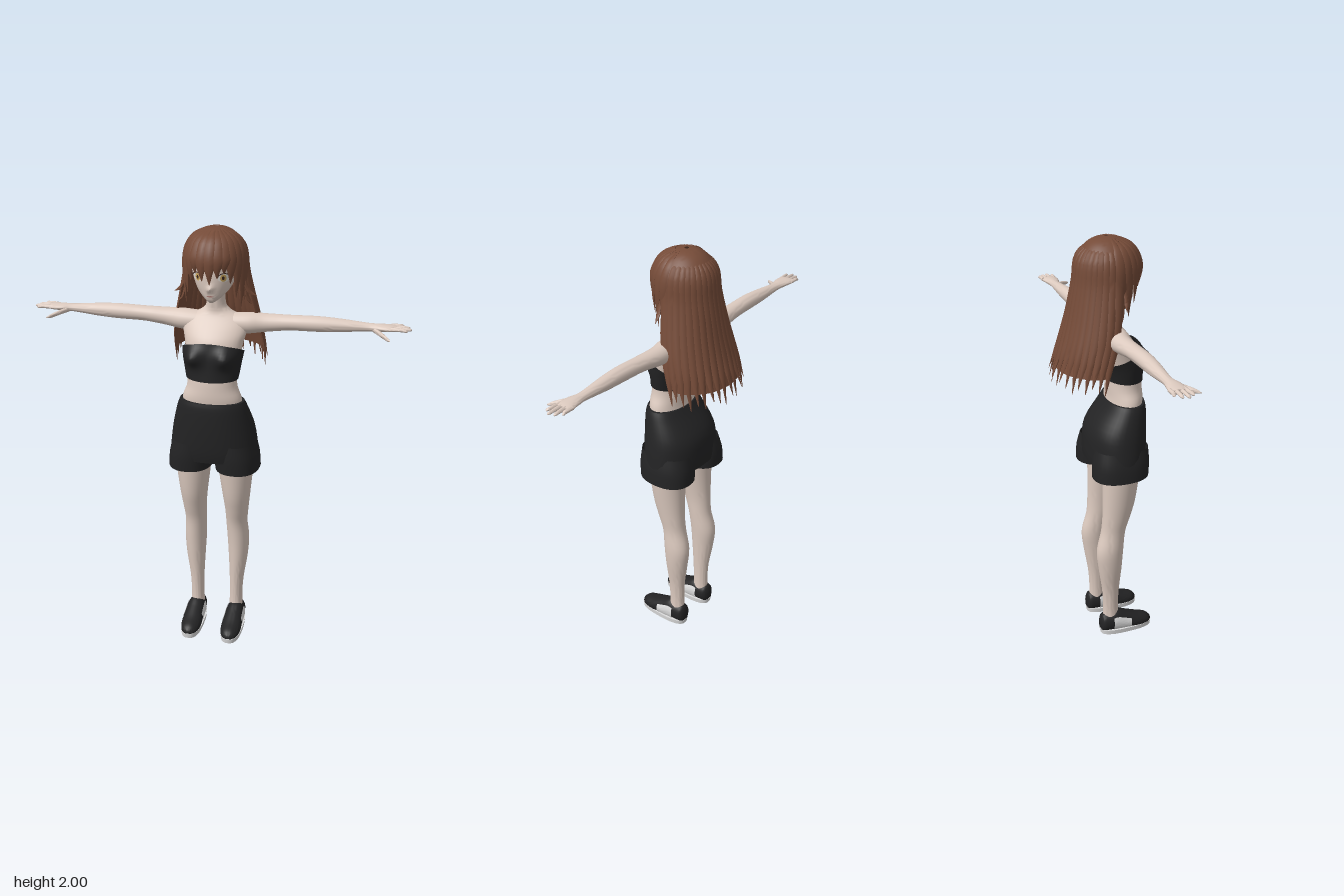
import * as THREE from 'three';
import { toCreasedNormals } from 'three/addons/utils/BufferGeometryUtils.js';

const V = (x, y, z) => new THREE.Vector3(x, y, z);
const mat = (name, color, side = THREE.FrontSide) => new THREE.MeshStandardMaterial({ name, color, side });
const M = {
  skin: mat('skin', 0xdccabf),
  hair: mat('hair brown', 0x754b38, THREE.DoubleSide),
  cloth: mat('black cloth', 0x232324, THREE.DoubleSide),
  white: mat('shoe white', 0xdcdcdc, THREE.DoubleSide),
  eye: mat('eye white', 0xf0ebe4, THREE.DoubleSide),
  iris: mat('iris gold', 0xc9a45c, THREE.DoubleSide),
  dark: mat('lash dark', 0x3a2620, THREE.DoubleSide),
  lip: mat('lip', 0xb08078, THREE.DoubleSide),
};

// Surface through rings of points; closed rings get caps and face outward
function skinRings(rings, closed = true, cap = true) {
  const n = rings[0].length, pos = [], idx = [];
  rings.forEach(r => r.forEach(p => pos.push(p.x, p.y, p.z)));
  const cols = closed ? n : n - 1;
  for (let i = 0; i < rings.length - 1; i++) for (let j = 0; j < cols; j++) {
    const a = i * n + j, b = i * n + (j + 1) % n;
    idx.push(a, b, a + n, b, b + n, a + n);
  }
  if (closed && cap) [0, rings.length - 1].forEach(i => {
    const c = rings[i].reduce((s, p) => s.add(p), V(0, 0, 0)).divideScalar(n), k = pos.length / 3;
    pos.push(c.x, c.y, c.z);
    for (let j = 0; j < n; j++) {
      const a = i * n + j, b = i * n + (j + 1) % n;
      i ? idx.push(k, a, b) : idx.push(k, b, a);
    }
  });
  // Reverse the winding when the enclosed volume is negative
  const P = i => V(pos[3 * i], pos[3 * i + 1], pos[3 * i + 2]);
  const mid = rings.flat().reduce((s, p) => s.add(p), V(0, 0, 0)).divideScalar(n * rings.length);
  let vol = 0;
  for (let i = 0; i < idx.length; i += 3) {
    const [a, b, c] = [0, 1, 2].map(k => P(idx[i + k]).sub(mid));
    vol += a.dot(b.cross(c));
  }
  if (vol < 0) idx.reverse();
  const g = new THREE.BufferGeometry();
  g.setAttribute('position', new THREE.Float32BufferAttribute(pos, 3));
  g.setIndex(idx);
  return toCreasedNormals(g, 1.0);
}

// Smooth resampling of number rows
function smooth(rows, steps) {
  const out = [], at = i => rows[Math.max(0, Math.min(rows.length - 1, i))];
  for (let i = 0; i < rows.length - 1; i++) for (let s = 0; s < steps; s++) {
    const t = s / steps;
    out.push(rows[i].map((b, k) => {
      const a = at(i - 1)[k], c = at(i + 1)[k], d = at(i + 2)[k];
      return b + 0.5 * t * (c - a + t * (2 * a - 5 * b + 4 * c - d + t * (3 * (b - c) + d - a)));
    }));
  }
  return [...out, rows[rows.length - 1]];
}

// Loft of ellipses; rows are [x, y, z, radiusU, radiusV, tilt]
const AXES = { y: [V(1, 0, 0), V(0, 0, 1)], x: [V(0, 0, 1), V(0, 1, 0)], z: [V(1, 0, 0), V(0, 1, 0)] };
function loft(rows, { axis = 'y', n = 32, steps = 4, a0 = 0, a1 = 2 * Math.PI, cap = true, power = 2, warp } = {}) {
  const [u, v] = AXES[axis], closed = a1 - a0 > 6.28;
  const pw = c => Math.sign(c) * Math.abs(c) ** (2 / power);
  const rings = smooth(rows, steps).map(([x, y, z, ru, rv, tilt = 0]) =>
    Array.from({ length: closed ? n : n + 1 }, (_, j) => {
      const a = a0 + (a1 - a0) * j / n, c = pw(Math.cos(a)), s = pw(Math.sin(a));
      const p = V(x, y + tilt * s, z).addScaledVector(u, c * ru).addScaledVector(v, s * rv);
      if (warp) warp(p);
      return p;
    }));
  return skinRings(rings, closed, cap);
}

// Flat tapering strand of hair lying against the head
function lock(points, width, thick = 0.011, steps = 18) {
  const curve = new THREE.CatmullRomCurve3(points), rings = [];
  for (let i = 0; i <= steps; i++) {
    const t = i / steps, p = curve.getPoint(t), T = curve.getTangent(t);
    const side = T.clone().cross(V(p.x, 0.02, p.z - 0.02)).normalize(), out = side.clone().cross(T);
    const k = Math.min(1, 0.35 + 2 * t) * Math.min(1, 0.05 + 2.6 * (1 - t));
    rings.push(Array.from({ length: 8 }, (_, j) => p.clone()
      .addScaledVector(side, Math.cos(j * Math.PI / 4) * width * k)
      .addScaledVector(out, Math.sin(j * Math.PI / 4) * thick * k)));
  }
  return skinRings(rings);
}

const HEAD = [
  [0, 1.684, 0.12, 0.012, 0.018], [0, 1.70, 0.103, 0.036, 0.045], [0, 1.73, 0.08, 0.066, 0.073],
  [0, 1.77, 0.06, 0.088, 0.097], [0, 1.82, 0.05, 0.102, 0.108], [0, 1.88, 0.045, 0.11, 0.112],
  [0, 1.94, 0.04, 0.085, 0.085], [0, 1.97, 0.04, 0.03, 0.03]];
function faceZ(x, y) {
  const i = Math.max(0, HEAD.findIndex(r => r[1] > y) - 1), a = HEAD[i], b = HEAD[i + 1];
  const [, , cz, rx, rz] = a.map((q, k) => q + (b[k] - q) * (y - a[1]) / (b[1] - a[1]));
  return cz + rz * Math.sqrt(Math.max(0, 1 - (x / rx) ** 2));
}
// Thin painted patch that follows the face
function facePatch(x, y, rx, ry, lift, inner = 0.01, a0 = 0, arc = 2 * Math.PI) {
  const g = new THREE.RingGeometry(inner, 1, 24, 4, a0, arc).scale(rx, ry, 1).translate(x, y, 0), p = g.attributes.position;
  for (let i = 0; i < p.count; i++) p.setZ(i, faceZ(p.getX(i), p.getY(i)) + lift);
  g.computeVertexNormals();
  return g;
}

export function createModel() {
  const model = new THREE.Group();
  const add = (name, geo, m) => {
    const mesh = new THREE.Mesh(geo, m);
    mesh.name = name;
    model.add(mesh);
  };

  // Torso, neck and head
  add('torso', loft([
    [0, 1.15, 0.1, 0.14, 0.08], [0, 1.24, 0.115, 0.136, 0.08], [0, 1.30, 0.115, 0.115, 0.08], [0, 1.36, 0.111, 0.112, 0.078],
    [0, 1.43, 0.095, 0.122, 0.08], [0, 1.50, 0.075, 0.133, 0.085], [0, 1.55, 0.052, 0.145, 0.076],
    [0, 1.595, 0.036, 0.135, 0.055], [0, 1.625, 0.03, 0.07, 0.046], [0, 1.66, 0.034, 0.043, 0.043], [0, 1.75, 0.045, 0.043, 0.043]]), M.skin);
  add('head', loft(HEAD, {
    n: 48, warp: p => { if (p.z > 0.1) p.z += 0.016 * Math.exp(-((p.x / 0.013) ** 2) - ((p.y - 1.748) / 0.014) ** 2); },
  }), M.skin);
  add('mouth', facePatch(0, 1.716, 0.015, 0.003, 0.004), M.lip);

  // Strapless top with a sloping upper edge
  add('top', loft([
    [0, 1.338, 0.114, 0.118, 0.086, 0], [0, 1.38, 0.108, 0.126, 0.088, 0.008],
    [0, 1.425, 0.1, 0.133, 0.09, 0.025], [0, 1.465, 0.089, 0.139, 0.09, 0.045]], {
    n: 56, steps: 6, cap: false, warp: p => {
      if (p.z > 0.09) p.z += 0.045 * Math.exp(-(((Math.abs(p.x) - 0.078) / 0.045) ** 2) - ((p.y - 1.448) / 0.042) ** 2);
    },
  }), M.cloth);

  // Shorts
  add('shortsHips', loft([
    [0, 1.235, 0.115, 0.147, 0.086], [0, 1.20, 0.107, 0.161, 0.1], [0, 1.10, 0.076, 0.188, 0.133],
    [0, 1.00, 0.068, 0.203, 0.137], [0, 0.945, 0.064, 0.207, 0.132]], { n: 40, power: 2.2 }), M.cloth);

  for (const s of [1, -1]) {
    const side = s > 0 ? 'left' : 'right';
    add(side + 'ShortsLeg', loft([[s * 0.1, 1.03, 0.07, 0.09, 0.125], [s * 0.106, 0.96, 0.064, 0.102, 0.134],
      [s * 0.111, 0.89, 0.06, 0.103, 0.133]], { cap: false, power: 2.3 }), M.cloth);

    // Leg
    add(side + 'Leg', loft([
      [0.1, 1.0, 0.07, 0.088, 0.098], [0.101, 0.89, 0.067, 0.082, 0.089], [0.103, 0.75, 0.058, 0.066, 0.079],
      [0.103, 0.66, 0.045, 0.056, 0.068], [0.101, 0.58, 0.03, 0.051, 0.06], [0.106, 0.48, 0.013, 0.052, 0.066],
      [0.106, 0.38, 0.014, 0.046, 0.058], [0.1, 0.25, 0.019, 0.034, 0.043], [0.098, 0.15, 0.02, 0.031, 0.038],
      [0.098, 0.08, 0.02, 0.034, 0.04]].map(([x, ...r]) => [s * x, ...r])), M.skin);

    // Shoe: sole, upper and pale side panels
    add(side + 'Sole', loft([[s * 0.1, 0, 0.1, 0.049, 0.133], [s * 0.1, 0.024, 0.1, 0.051, 0.136]], { power: 2.7, steps: 1 }), M.white);
    const x = s * 0.1, flat = p => { p.y = Math.max(p.y, 0.02); };
    add(side + 'Shoe', loft([
      [x, 0.05, -0.034, 0.022, 0.035], [x, 0.056, -0.022, 0.037, 0.05], [x, 0.058, 0.01, 0.043, 0.055], [x, 0.06, 0.05, 0.045, 0.062],
      [x, 0.05, 0.1, 0.047, 0.05], [x, 0.036, 0.16, 0.049, 0.038], [x, 0.03, 0.21, 0.037, 0.028], [x, 0.027, 0.232, 0.015, 0.012]],
    { axis: 'z', warp: flat }), M.cloth);
    for (const [a0, a1] of [[-0.6, 0.55], [Math.PI - 0.55, Math.PI + 0.6]])
      add(side + 'ShoePanel', loft([[x, 0.058, 0.025, 0.047, 0.062], [x, 0.06, 0.05, 0.048, 0.065],
        [x, 0.05, 0.1, 0.05, 0.053], [x, 0.046, 0.118, 0.051, 0.048]], { axis: 'z', n: 10, a0, a1, warp: flat }), M.white);

    // Arm and palm, then fingers and thumb
    const limb = (name, rows, n) => add(side + name, loft(rows.map(([q, ...r]) => [s * q, ...r]), { axis: 'x', n }), M.skin);
    limb('Arm', [
      [0.07, 1.572, 0.035, 0.05, 0.045], [0.15, 1.574, 0.03, 0.052, 0.047], [0.22, 1.577, 0.022, 0.045, 0.041],
      [0.33, 1.585, 0.025, 0.038, 0.034], [0.45, 1.588, 0.027, 0.036, 0.034], [0.55, 1.588, 0.025, 0.032, 0.029],
      [0.67, 1.588, 0.022, 0.023, 0.018], [0.72, 1.589, 0.024, 0.033, 0.016], [0.765, 1.59, 0.022, 0.04, 0.013],
      [0.79, 1.59, 0.02, 0.036, 0.009]], 24);
    [[-0.011, -0.016, 0.825], [0.009, 0.007, 0.848], [0.03, 0.032, 0.856], [0.048, 0.056, 0.84]].forEach(([z0, z1, tip], i) =>
      limb('Finger' + (i + 1), [[0.765, 1.591, z0, 0.0095, 0.009], [0.81, 1.592, (z0 + z1) / 2, 0.0085, 0.008],
        [tip - 0.008, 1.59, z1, 0.007, 0.006], [tip, 1.589, z1, 0.002, 0.002]], 10));
    limb('Thumb', [[0.69, 1.583, 0.03, 0.015, 0.012], [0.725, 1.574, 0.068, 0.015, 0.011],
      [0.755, 1.565, 0.102, 0.011, 0.009], [0.771, 1.561, 0.12, 0.003, 0.003]], 12);

    // Eye
    add(side + 'EyeWhite', facePatch(s * 0.058, 1.797, 0.024, 0.018, 0.003), M.eye);
    add(side + 'Iris', facePatch(s * 0.056, 1.797, 0.012, 0.016, 0.005), M.iris);
    add(side + 'Pupil', facePatch(s * 0.056, 1.797, 0.005, 0.008, 0.007), M.dark);
    add(side + 'Lash', facePatch(s * 0.058, 1.797, 0.027, 0.022, 0.006, 0.82, 0.2, Math.PI - 0.4), M.dark);

    // Strand flicking outward beside the face
    add(side + 'HairFlick', lock([V(s * 0.125, 1.83, 0.06), V(s * 0.137, 1.76, 0.07), V(s * 0.155, 1.725, 0.065), V(s * 0.185, 1.705, 0.055)], 0.013, 0.006), M.hair);
    add(side + 'HairFlickLow', lock([V(s * 0.125, 1.80, 0.04), V(s * 0.137, 1.72, 0.05), V(s * 0.15, 1.68, 0.045), V(s * 0.17, 1.66, 0.04)], 0.012, 0.006), M.hair);
  }

  // Hair cap, sides and long back sheet
  add('hairCap', loft([[0, 1.862, 0.035, 0.133, 0.143], [0, 1.92, 0.035, 0.122, 0.132], [0, 1.965, 0.033, 0.087, 0.093],
    [0, 1.988, 0.03, 0.048, 0.05], [0, 1.995, 0.03, 0.01, 0.01]], { n: 40, cap: false }), M.hair);
  add('hairSides', loft([[0, 1.88, 0.035, 0.132, 0.142], [0, 1.80, 0.03, 0.134, 0.142], [0, 1.70, 0.02, 0.13, 0.14]],
    { a0: Math.PI - 0.4, a1: 2 * Math.PI + 0.4 }), M.hair);
  add('hairBack', loft([[0, 1.86, 0.03, 0.133, 0.138], [0, 1.75, 0.02, 0.143, 0.142], [0, 1.60, -0.005, 0.175, 0.145],
    [0, 1.50, -0.03, 0.192, 0.152], [0, 1.42, -0.048, 0.2, 0.157]], { a0: Math.PI, a1: 2 * Math.PI }), M.hair);

  // Long back strands fanning out to pointed tips
  const strands = 19;
  for (let i = 0; i < strands; i++) {
    const a = (i / (strands - 1) - 0.5) * Math.PI * 1.02, wob = (i * 7 % 5) / 5;
    const at = (y, cz, rx, rz) => V(Math.sin(a) * rx, y, cz - Math.cos(a) * rz);
    add('hairStrand', lock([at(1.985, 0.03, 0.04, 0.045), at(1.92, 0.033, 0.118, 0.128), at(1.80, 0.03, 0.137, 0.143),
      at(1.60, -0.003, 0.18, 0.152), at(1.47, -0.036, 0.204, 0.162),
      at(1.345 + 0.05 * wob, -0.058, 0.207 + 0.012 * wob, 0.162 + 0.012 * wob)], 0.026, 0.012, 24), M.hair);
  }

  // Fringe: strands from the crown over the forehead and temples
  const fringe = [[0.02, 1.772], [0.27, 1.80], [-0.24, 1.785], [0.5, 1.82], [-0.5, 1.815], [0.72, 1.775], [-0.72, 1.78],
    [0.95, 1.71], [-0.95, 1.72], [1.2, 1.66], [-1.2, 1.665], [1.45, 1.68], [-1.45, 1.68]];
  for (const [a, tip] of fringe) {
    const at = (y, k) => V(Math.sin(a) * 0.135 * k, y, 0.035 + Math.cos(a) * 0.147 * k);
    add('fringeStrand', lock([at(1.988, 0.3), at(1.955, 0.72), at(1.90, 0.96), at((1.9 + tip) / 2, 1.02), at(tip, 0.97)], 0.028, 0.009), M.hair);
  }
  return model;
}
